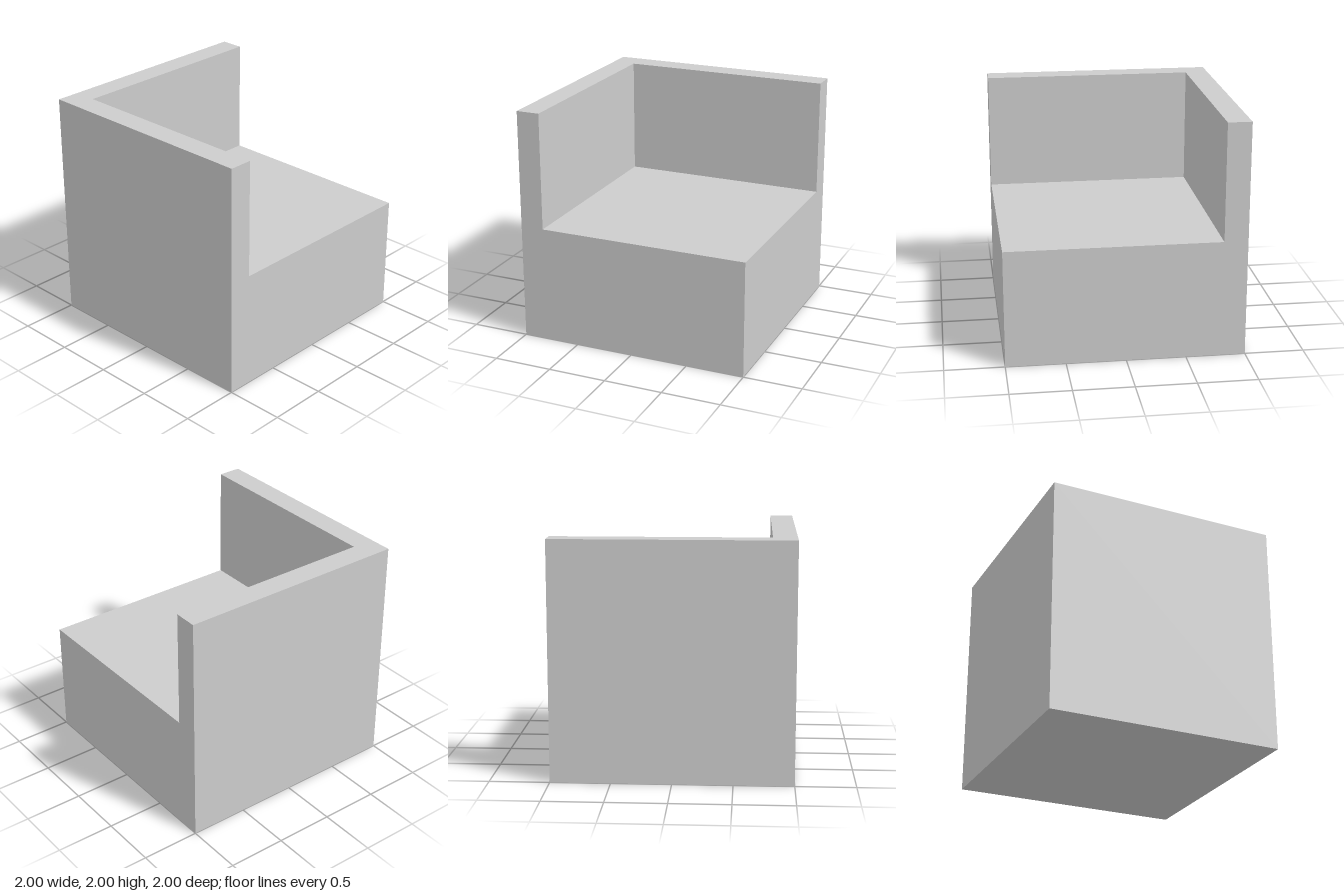
import * as THREE from 'three';

export function createModel() {
  const model = new THREE.Group();
  model.name = 'cornerSeat';
  const grey = new THREE.MeshStandardMaterial({ color: 0xcccccc });
  grey.name = 'light grey';

  const half = 1, wall = 0.2, height = 2, seatHeight = 1;
  const inner = half - wall;

  // L-shaped corner wall: plan drawn with y = -z, then stood upright
  const plan = new THREE.Shape([
    [-half, -half], [-inner, -half], [-inner, inner],
    [half, inner], [half, half], [-half, half],
  ].map(([x, y]) => new THREE.Vector2(x, y)));
  const wallGeometry = new THREE.ExtrudeGeometry(plan, { depth: height, bevelEnabled: false });
  wallGeometry.rotateX(-Math.PI / 2);
  const cornerWall = new THREE.Mesh(wallGeometry, grey);
  cornerWall.name = 'cornerBackrest';

  // Solid seat block filling the inside of the corner
  const side = 2 * half - wall;
  const seat = new THREE.Mesh(new THREE.BoxGeometry(side, seatHeight, side), grey);
  seat.name = 'seatBlock';
  seat.position.set(wall / 2, seatHeight / 2, wall / 2);

  model.add(cornerWall, seat);
  return model;
}
